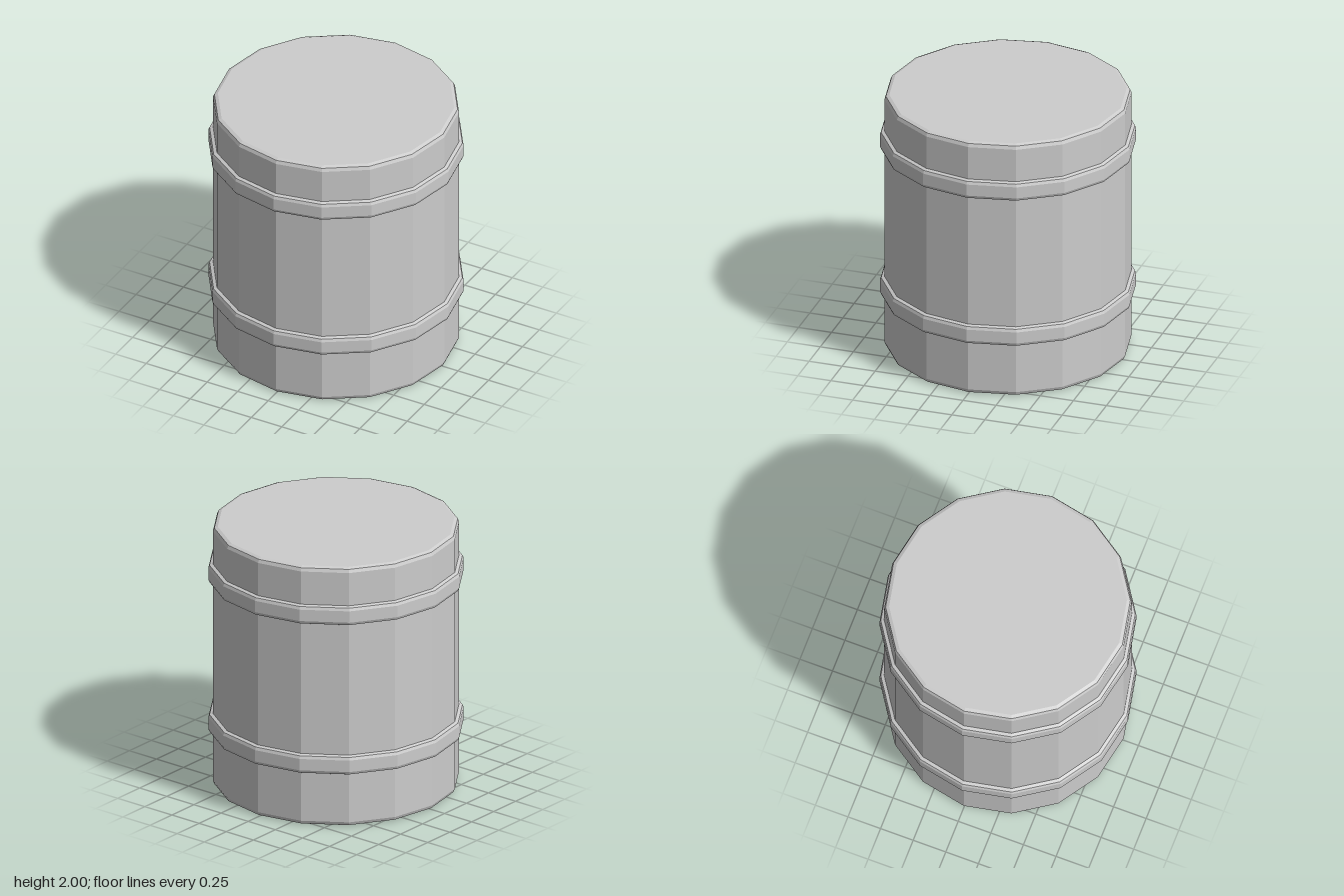
import * as THREE from 'three';

const SIDES = 16;

// Sixteen-sided drum section with rounded rims, from inner radius out to the wall
function roundedDrum(inner, radius, bottom, top, bevel) {
  const profile = [new THREE.Vector2(inner, bottom)];
  const corner = (cy, start) => {
    for (let i = 0; i <= 2; i++) {
      const a = start + (i / 2) * (Math.PI / 2);
      profile.push(new THREE.Vector2(radius - bevel + bevel * Math.cos(a), cy + bevel * Math.sin(a)));
    }
  };
  corner(bottom + bevel, -Math.PI / 2);
  corner(top - bevel, 0);
  profile.push(new THREE.Vector2(inner, top));
  return new THREE.LatheGeometry(profile, SIDES);
}

export function createModel() {
  const model = new THREE.Group();
  model.name = 'barrel';

  const metal = new THREE.MeshStandardMaterial({ color: 0xcccccc, flatShading: true });
  metal.name = 'grey metal';

  // Closed main body
  const body = new THREE.Mesh(roundedDrum(0, 0.887, 0, 2, 0.035), metal);
  body.name = 'body';
  model.add(body);

  // Two raised hoops
  [['lowerHoop', 0.482], ['upperHoop', 1.638]].forEach(([name, y]) => {
    const hoop = new THREE.Mesh(roundedDrum(0.85, 0.92, y - 0.074, y + 0.074, 0.03), metal);
    hoop.name = name;
    model.add(hoop);
  });

  return model;
}
